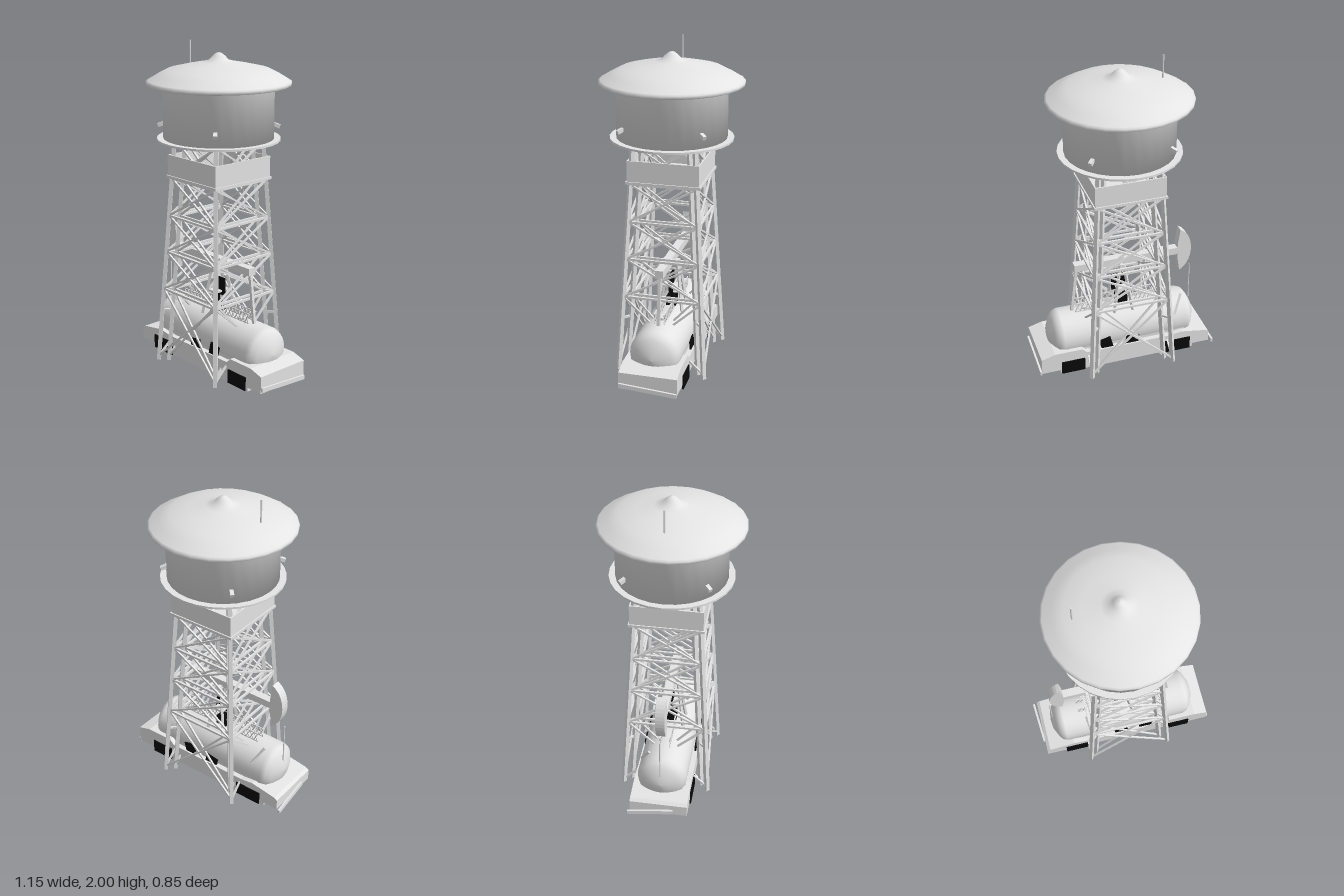
import * as THREE from 'three';

const grey = new THREE.MeshStandardMaterial({ color: 0xe4e4e4, side: THREE.DoubleSide });
grey.name = 'pale grey';
const black = new THREE.MeshStandardMaterial({ color: 0x0a0a0a });
black.name = 'black';
const V = (x, y, z) => new THREE.Vector3(x, y, z);

function add(parent, name, geometry, material = grey, x = 0, y = 0, z = 0) {
  const mesh = new THREE.Mesh(geometry, material);
  mesh.name = name;
  mesh.position.set(x, y, z);
  parent.add(mesh);
  return mesh;
}

function box(parent, name, w, h, d, x, y, z, material = grey) {
  return add(parent, name, new THREE.BoxGeometry(w, h, d), material, x, y, z);
}

// Bar running from a to b, in the parent's own frame
function bar(parent, name, a, b, width, height = width) {
  const mesh = box(parent, name, width, height, a.distanceTo(b), 0, 0, 0);
  mesh.position.copy(a).lerp(b, 0.5);
  mesh.quaternion.setFromRotationMatrix(new THREE.Matrix4().lookAt(b, a, V(0, 1, 0)));
  return mesh;
}

function extrude(points, depth) {
  const shape = new THREE.Shape(points.map(([x, y]) => new THREE.Vector2(x, y)));
  const g = new THREE.ExtrudeGeometry(shape, { depth, bevelEnabled: false });
  return g.translate(0, 0, -depth / 2);
}

function lathe(points, segments) {
  return new THREE.LatheGeometry(points.map(([r, y]) => new THREE.Vector2(r, y)), segments);
}

function buildReservoir() {
  const g = new THREE.Group();
  g.name = 'reservoir';
  // Wall flows smoothly into the floor and the eave
  add(g, 'reservoirWall', lathe([[0, 1.452], [0.327, 1.452], [0.327, 1.768], [0.415, 1.768]], 28));
  add(g, 'roofRim', lathe([[0.415, 1.765], [0.425, 1.77], [0.425, 1.785], [0.415, 1.793]], 26));
  add(g, 'roof', lathe([[0.42, 1.787], [0.36, 1.823], [0.3, 1.854], [0.2, 1.877],
    [0.1, 1.896], [0.06, 1.906], [0.035, 1.932], [0.015, 1.947], [0, 1.95]], 26));
  add(g, 'walkway', new THREE.CylinderGeometry(0.365, 0.365, 0.012, 28), grey, 0, 1.449, 0);
  add(g, 'mast', new THREE.CylinderGeometry(0.005, 0.005, 0.15, 8), grey, -0.255, 1.925, 0);
  for (let i = 0; i < 4; i++) {
    const a = Math.PI / 4 + i * Math.PI / 2;
    const lamp = box(g, 'wallLamp', 0.022, 0.022, 0.05, Math.cos(a) * 0.335, 1.53, Math.sin(a) * 0.335);
    lamp.rotation.set(0.35, Math.PI / 2 - a, 0, 'YXZ');
  }
  return g;
}

function buildTower() {
  const g = new THREE.Group();
  g.name = 'tower';
  // Half width of the outer and inner frames at height y
  const outer = y => 0.267 - (y - 0.03) * 0.0585;
  const inner = y => 0.222 - (y - 0.03) * 0.0585;
  const levels = [0.05, 0.5, 0.74, 0.97, 1.2, 1.44];
  for (let side = 0; side < 4; side++) {
    const face = new THREE.Group();
    face.name = 'towerSide';
    face.rotation.y = side * Math.PI / 2;
    g.add(face);
    for (const half of [outer, inner]) {
      const p = (s, y) => V(s * half(y), y, half(y));
      bar(face, 'leg', p(1, 0.025), p(1, 1.446), 0.024);
      levels.slice(0, -1).forEach((y0, i) => {
        const y1 = levels[i + 1];
        bar(face, 'crossBrace', p(-1, y0), p(1, y1), 0.011);
        bar(face, 'crossBrace', p(1, y0), p(-1, y1), 0.011);
        if (i) bar(face, 'girder', p(-1, y0), p(1, y0), 0.013);
      });
    }
    // Ties between the paired legs
    for (const y of [0.36, 0.5, 0.74, 0.97])
      bar(face, 'legTie', V(outer(y), y, outer(y)), V(inner(y), y, inner(y)), 0.012);
    // Parapet around the upper platform
    box(face, 'parapet', 0.43, 0.13, 0.008, 0, 1.28, 0.211);
  }
  box(g, 'platformFloor', 0.445, 0.016, 0.445, 0, 1.212, 0);
  return g;
}

function buildWagon() {
  const g = new THREE.Group();
  g.name = 'wagon';
  add(g, 'chassis', extrude([[-0.545, 0.06], [0.562, 0.06], [0.562, 0.165], [0.475, 0.19],
    [0.3, 0.19], [0.27, 0.16], [-0.27, 0.16], [-0.36, 0.172], [-0.525, 0.145], [-0.545, 0.13]], 0.354));
  box(g, 'underPlate', 0.88, 0.035, 0.33, 0, 0.045, 0);
  for (const s of [-1, 1]) {
    box(g, 'ventPanel', 0.175, 0.085, 0.008, -0.327, 0.078, s * 0.181, black);
    box(g, 'ventPanel', 0.15, 0.085, 0.008, 0.361, 0.078, s * 0.181, black);
    box(g, 'sidePanel', 0.085, 0.07, 0.01, -0.03, 0.175, s * 0.162, black).rotation.z = 0.18;
    box(g, 'sidePanel', 0.075, 0.085, 0.01, 0.14, 0.185, s * 0.162, black).rotation.z = -0.25;
    box(g, 'sill', 0.8, 0.012, 0.012, 0, 0.026, s * 0.13);
  }
  // Small blocks under the floor
  for (let i = 0; i < 15; i++)
    box(g, 'underBlock', 0.03, 0.024, 0.026, -0.33 + i * 0.047, 0.012, i % 2 ? 0.014 : -0.014);
  for (const x of [-0.2, 0.2]) box(g, 'underBeam', 0.05, 0.02, 0.28, x, 0.02, 0);

  // Bumpers, the rear one knocked askew
  bar(g, 'rearBumper', V(-0.567, 0.06, -0.188), V(-0.55, 0.085, 0.09), 0.014, 0.026);
  bar(g, 'frontBumper', V(0.568, 0.06, -0.175), V(0.568, 0.085, 0.175), 0.012, 0.026);

  // Round-ended tank lying along x
  const tank = add(g, 'tank', lathe([[0, -0.478], [0.055, -0.472], [0.11, -0.446], [0.14, -0.425],
    [0.152, -0.395], [0.152, 0], [0.152, 0.4], [0.14, 0.432], [0.11, 0.454], [0.055, 0.479], [0, 0.486]], 28));
  tank.rotation.z = -Math.PI / 2;
  tank.position.y = 0.222;
  box(g, 'tankCradle', 0.8, 0.05, 0.29, 0.01, 0.175, 0);
  add(g, 'hatch', new THREE.CylinderGeometry(0.03, 0.03, 0.02, 14), grey, 0.22, 0.378, 0);
  add(g, 'fin', extrude([[0.25, 0.37], [0.29, 0.37], [0.39, 0.338], [0.29, 0.338]], 0.07));
  add(g, 'aerial', new THREE.CylinderGeometry(0.004, 0.004, 0.41, 8), grey, -0.464, 0.355, 0);
  bar(g, 'handle', V(-0.38, 0.4, -0.08), V(-0.32, 0.29, -0.14), 0.012);

  // Lattice rails along the top of the tank
  for (const [x0, x1] of [[-0.29, -0.05], [0.06, 0.3]])
    for (const z of [-0.03, 0.03]) {
      const n = 8, step = (x1 - x0) / n;
      for (const y of [0.376, 0.434]) bar(g, 'rail', V(x0, y, z), V(x1, y, z), 0.006);
      for (let i = 0; i < n; i++) {
        const a = x0 + i * step, b = a + step;
        bar(g, 'lattice', V(a, 0.376, z), V(b, 0.434, z), 0.005);
        bar(g, 'lattice', V(b, 0.376, z), V(a, 0.434, z), 0.005);
      }
    }
  return g;
}

function buildRockingBeam() {
  const g = new THREE.Group();
  g.name = 'rockingBeam';
  box(g, 'beam', 0.685, 0.046, 0.05, -0.046, 0.691, 0);
  // Crescent head at the end of the beam
  const head = new THREE.Shape();
  head.moveTo(-0.385, 0.845);
  head.bezierCurveTo(-0.485, 0.8, -0.485, 0.6, -0.385, 0.548);
  head.bezierCurveTo(-0.38, 0.6, -0.37, 0.63, -0.37, 0.668);
  head.lineTo(-0.37, 0.714);
  head.bezierCurveTo(-0.37, 0.76, -0.38, 0.8, -0.385, 0.845);
  const geo = new THREE.ExtrudeGeometry(head, { depth: 0.056, bevelEnabled: false, curveSegments: 14 });
  add(g, 'beamHead', geo.translate(0, 0, -0.028));
  // Trestle, pump rod and motor
  for (const sx of [-1, 1])
    for (const sz of [-1, 1])
      bar(g, 'trestleLeg', V(sx * 0.012, 0.67, sz * 0.04), V(sx * 0.06, 0.35, sz * 0.08), 0.016);
  box(g, 'trestleTie', 0.07, 0.012, 0.11, 0, 0.5, 0);
  box(g, 'trestleAxle', 0.024, 0.024, 0.1, 0, 0.665, 0);
  bar(g, 'pumpRod', V(0.28, 0.68, 0), V(0.318, 0.36, 0), 0.018);
  box(g, 'counterPlate', 0.095, 0.11, 0.012, 0.007, 0.53, 0, black);
  box(g, 'rod', 0.012, 0.12, 0.012, 0, 0.45, 0, black);
  box(g, 'motor', 0.07, 0.06, 0.06, -0.005, 0.4, 0, black);
  return g;
}

export function createModel() {
  const model = new THREE.Group();
  model.name = 'waterTowerAndWagon';
  model.add(buildReservoir(), buildTower(), buildWagon(), buildRockingBeam());
  return model;
}
